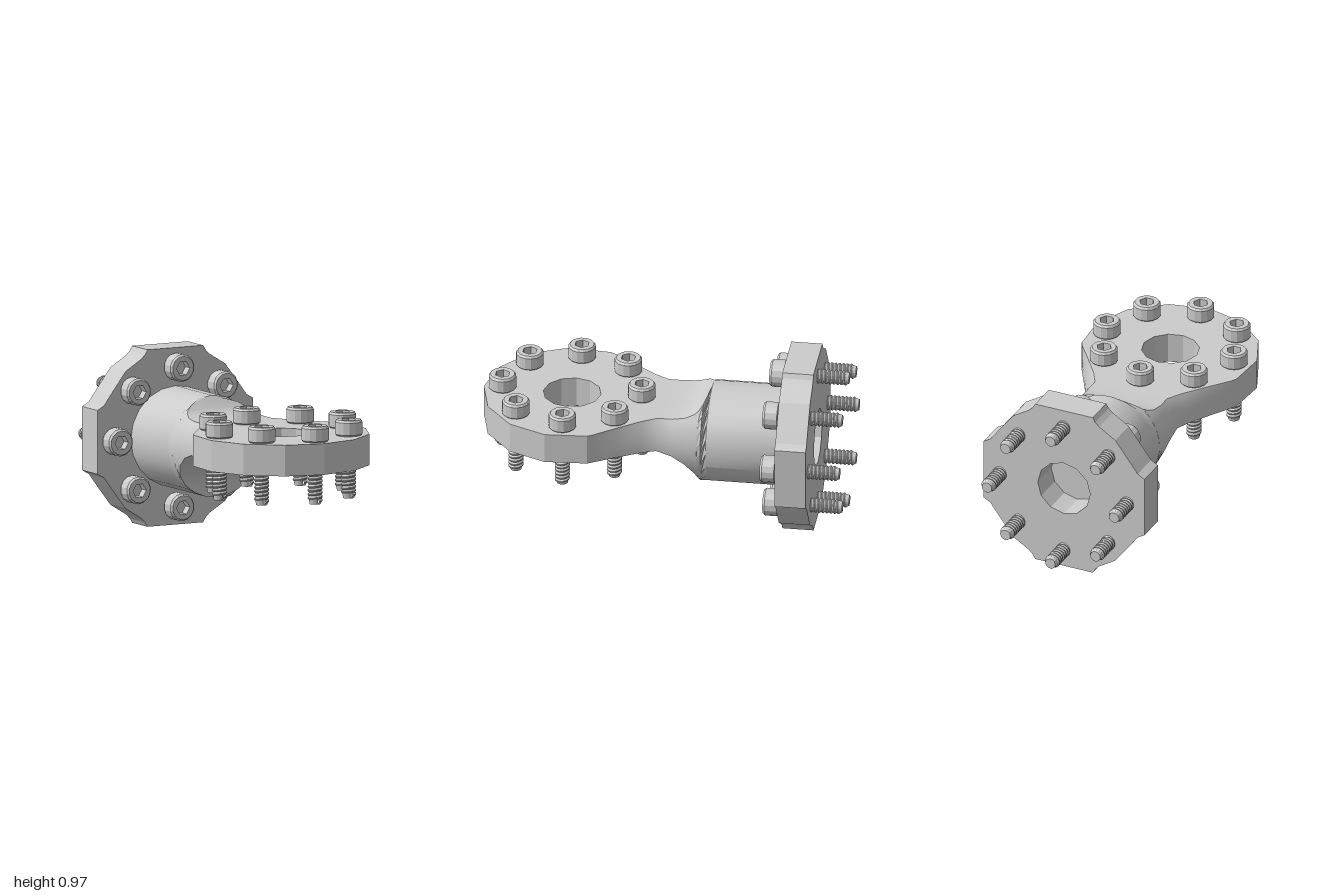
import * as THREE from 'three';
import { toCreasedNormals } from 'three/addons/utils/BufferGeometryUtils.js';

const smooth = new THREE.MeshStandardMaterial({ color: 0xcccccc });
const flat = new THREE.MeshStandardMaterial({ color: 0xcccccc, flatShading: true });

const AXIS_Y = 0.484;   // height of the arm and rear flange axis
const THICK = 0.17;     // thickness of both plates
const BOLT_RING = 0.38;
const HUB_Z = 0.515;    // centre of the front plate

const V = (x, y) => new THREE.Vector2(x, y);

function polygon(r, sides, cx = 0, cy = 0, start = 0) {
  return Array.from({ length: sides }, (_, i) => {
    const a = start + (i / sides) * Math.PI * 2;
    return V(cx + r * Math.cos(a), cy + r * Math.sin(a));
  });
}

function plateGeometry(outline, hole, depth) {
  const shape = new THREE.Shape(outline);
  shape.holes.push(new THREE.Path(hole));
  return new THREE.ExtrudeGeometry(shape, { depth, bevelEnabled: false });
}

function addMesh(parent, name, geometry, material = flat) {
  const mesh = new THREE.Mesh(geometry, material);
  mesh.name = name;
  parent.add(mesh);
  return mesh;
}

// Threaded shank: a saw-tooth lathe sheared by one pitch per turn into a helix
function shankGeometry() {
  const pitch = 0.021, teeth = 15, bottom = -0.342;
  const pts = [V(0, bottom), V(0.03, bottom)];
  for (let i = 0; i < teeth; i++) {
    const y = bottom + 0.008 + i * pitch;
    pts.push(V(0.034, y), V(0.041, y + pitch * 0.35), V(0.041, y + pitch * 0.6));
  }
  pts.push(V(0.034, 0.0));
  const geo = new THREE.LatheGeometry(pts, 14);
  const pos = geo.attributes.position, n = pts.length;
  for (let i = 0; i < pos.count; i++) {
    const ring = i % n, turn = Math.floor(i / n) / 14;
    if (ring > 1 && ring < n - 1) pos.setY(i, pos.getY(i) + pitch * turn);
  }
  return geo;
}

// Cap head with bevelled rims and a hexagonal socket
const HEAD = 0.087, SOCKET = 0.05;
const headGeometry = new THREE.LatheGeometry(
  [V(0, 0), V(0.066, 0), V(0.075, 0.008), V(0.075, 0.075), V(0.066, HEAD)], 14);
const socketGeometry = plateGeometry(
  polygon(0.066, 14, 0, 0, Math.PI / 2), polygon(0.041, 6), SOCKET)
  .rotateX(-Math.PI / 2).translate(0, HEAD - SOCKET, 0);
const socketFloor = new THREE.CircleGeometry(0.05, 6)
  .rotateX(-Math.PI / 2).translate(0, HEAD - SOCKET + 0.001, 0);
const shank = shankGeometry();

function boltRing(name) {
  const ring = new THREE.Group();
  ring.name = name;
  for (let i = 0; i < 8; i++) {
    const a = (i / 8) * Math.PI * 2;
    const bolt = new THREE.Group();
    bolt.name = 'bolt';
    addMesh(bolt, 'boltHead', headGeometry);
    addMesh(bolt, 'boltSocket', socketGeometry);
    addMesh(bolt, 'socketFloor', socketFloor);
    addMesh(bolt, 'threadedShank', shank);
    bolt.position.set(BOLT_RING * Math.cos(a), 0, BOLT_RING * Math.sin(a));
    ring.add(bolt);
  }
  return ring;
}

// Arm: a round bar clipped above and below, widening into the front plate
function armGeometry() {
  const R = 0.275, M = 10;
  // z, lower limit, upper limit, half width, squareness of the sides
  const stations = [
    [-0.655, -R, R, R, 0], [-0.25, -R, R, R, 0],
    [-0.22, -R, 0.235, R, 0], [-0.2, -R, 0.212, R, 0],
    [-0.2, -0.2, 0.212, R, 0], [-0.18, -0.14, 0.197, R, 0],
    [-0.13, -0.075, 0.179, R, 0], [-0.06, -0.025, 0.171, R, 0],
    [0.02, 0.001, 0.171, R, 0], [0.1, 0.001, 0.171, 0.308, 0.3],
    [0.22, 0.001, 0.171, 0.375, 0.7], [0.34, 0.001, 0.171, 0.445, 1],
  ];
  const pos = [], index = [], N = 2 * (M + 1);
  for (const [z, low, high, w, square] of stations) {
    const a0 = Math.asin(low / R), a1 = Math.asin(high / R);
    for (let i = 0; i < N; i++) {
      const side = i <= M ? 1 : -1;
      const a = a0 + (a1 - a0) * ((i <= M ? i : N - 1 - i) / M);
      const x = w * (Math.cos(a) * (1 - square) + square);
      pos.push(side * x, AXIS_Y + R * Math.sin(a), z);
    }
  }
  for (let k = 0; k < stations.length - 1; k++) {
    for (let i = 0; i < N; i++) {
      const a = k * N + i, b = k * N + (i + 1) % N;
      index.push(a, b, a + N, b, b + N, a + N);
    }
  }
  // Rear cap, which is also the floor of the flange bore
  for (let i = 1; i < N - 1; i++) index.push(0, i + 1, i);
  const geo = new THREE.BufferGeometry();
  geo.setAttribute('position', new THREE.Float32BufferAttribute(pos, 3));
  geo.setIndex(index);
  return toCreasedNormals(geo, 0.5);
}

export function createModel() {
  const model = new THREE.Group();
  model.name = 'flangedBracket';

  // Front plate, drawn in plan with z reversed
  const half = [[0.445, 0.34], [0.462, 0.37], [0.477, 0.6], [0.39, 0.8], [0.215, 0.945]];
  const plan = [
    ...half.map(([x, z]) => V(x, -z)), V(0, 0.997 * -1),
    ...half.slice().reverse().map(([x, z]) => V(-x, -z)),
  ];
  const plate = plateGeometry(plan, polygon(0.157, 12, 0, -HUB_Z), THICK);
  addMesh(model, 'frontPlate', plate.rotateX(-Math.PI / 2)).position.y = AXIS_Y + 0.001;

  addMesh(model, 'arm', armGeometry(), smooth);

  // Rear flange: a disc with four flats, mirrored from one quarter
  const quarter = [[0.481, 0.174], [0.44, 0.198], [0.402, 0.25], [0.307, 0.375],
    [0.21, 0.435], [0.187, 0.458], [0.172, 0.483]];
  const back = quarter.slice().reverse();
  const outline = [
    ...quarter.map(([x, y]) => V(x, y)), ...back.map(([x, y]) => V(-x, y)),
    ...quarter.map(([x, y]) => V(-x, -y)), ...back.map(([x, y]) => V(x, -y)),
  ];
  addMesh(model, 'rearFlange', plateGeometry(outline, polygon(0.157, 12), THICK))
    .position.set(0, AXIS_Y, -0.655 - THICK);

  // Bolt rings
  const frontBolts = boltRing('frontBolts');
  frontBolts.position.set(0, AXIS_Y + THICK + 0.001, HUB_Z);
  const rearBolts = boltRing('rearBolts');
  rearBolts.rotation.x = Math.PI / 2;
  rearBolts.position.set(0, AXIS_Y, -0.655);
  model.add(frontBolts, rearBolts);

  return model;
}
